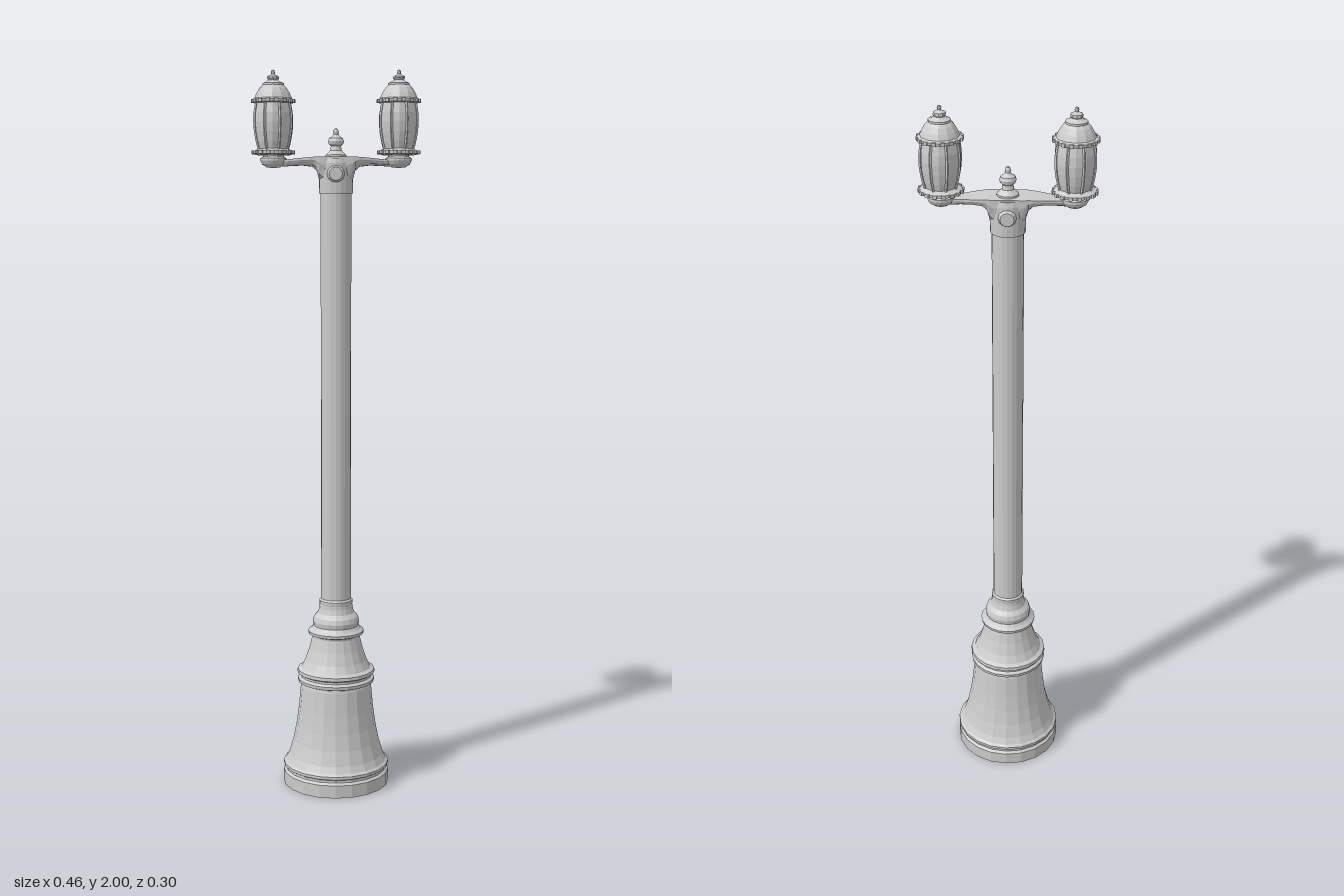
import * as THREE from 'three';

const material = new THREE.MeshStandardMaterial({ color: 0xcccccc, flatShading: true, side: THREE.DoubleSide });

function addMesh(parent, geometry, name) {
  const mesh = new THREE.Mesh(geometry, material);
  mesh.name = name;
  parent.add(mesh);
  return mesh;
}

// Turned part from [radius, height] pairs, bottom to top
function turned(parent, name, profile, sides) {
  return addMesh(parent, new THREE.LatheGeometry(profile.map(([r, y]) => new THREE.Vector2(r, y)), sides), name);
}

// Lofted arm: each station is [x, half width, bottom y, top y]
function armGeometry(stations) {
  const positions = [], index = [], n = 8;
  for (const [x, w, low, high] of stations) {
    const h = high - low;
    const section = [[-w, high], [w, high], [w, high - h * 0.3], [w * 0.8, low + h * 0.25],
      [w * 0.35, low], [-w * 0.35, low], [-w * 0.8, low + h * 0.25], [-w, high - h * 0.3]];
    for (const [z, y] of section) positions.push(x, y, z);
  }
  for (let i = 0; i < stations.length - 1; i++) {
    for (let j = 0; j < n; j++) {
      const a = i * n + j, b = i * n + (j + 1) % n;
      index.push(a, b, a + n, b, b + n, a + n);
    }
  }
  const last = (stations.length - 1) * n;
  for (let j = 1; j < n - 1; j++) {
    index.push(0, j + 1, j, last, last + j, last + j + 1);
  }
  const geometry = new THREE.BufferGeometry();
  geometry.setAttribute('position', new THREE.Float32BufferAttribute(positions, 3));
  geometry.setIndex(index);
  geometry.computeVertexNormals();
  return geometry;
}

function createLantern(name) {
  const lantern = new THREE.Group();
  lantern.name = name;
  // Dish joining the lantern to the arm
  turned(lantern, 'lanternDish', [[0, 1.738], [0.018, 1.74], [0.031, 1.748], [0.036, 1.758],
    [0.036, 1.764], [0.028, 1.769], [0.03, 1.776]], 16);
  turned(lantern, 'lanternLowerRim', [[0, 1.773], [0.047, 1.773], [0.055, 1.776], [0.055, 1.783],
    [0.046, 1.787], [0.04, 1.79]], 16);
  const glass = [[0.04, 1.787], [0.046, 1.808], [0.051, 1.835], [0.053, 1.86],
    [0.052, 1.885], [0.047, 1.912]];
  turned(lantern, 'lanternGlass', glass, 12);
  // Stepped roof with a pointed finial
  turned(lantern, 'lanternRoof', [[0.044, 1.91], [0.057, 1.913], [0.058, 1.92], [0.051, 1.924],
    [0.045, 1.938], [0.037, 1.951], [0.029, 1.959], [0.029, 1.964], [0.02, 1.968]], 12);
  turned(lantern, 'lanternFinial', [[0.02, 1.967], [0.014, 1.972], [0.017, 1.977], [0.016, 1.982],
    [0.009, 1.985], [0.005, 1.988], [0.006, 1.993], [0.004, 1.998], [0, 2]], 10);

  const ribCurve = new THREE.CatmullRomCurve3(glass.map(([r, y]) => new THREE.Vector3(r + 0.001, y, 0)));
  const ribGeometry = new THREE.TubeGeometry(ribCurve, 8, 0.0035, 4);
  const ribs = 8;
  for (let i = 0; i < ribs; i++) {
    addMesh(lantern, ribGeometry, 'lanternRib').rotation.y = ((i + 0.5) / ribs) * Math.PI * 2;
  }
  // Small teeth around both rims
  const teeth = 16;
  const toothGeometry = new THREE.BoxGeometry(0.007, 0.009, 0.011);
  for (let i = 0; i < teeth; i++) {
    const angle = ((i + 0.5) / teeth) * Math.PI * 2;
    for (const [radius, y] of [[0.0555, 1.78], [0.0565, 1.917]]) {
      const tooth = addMesh(lantern, toothGeometry, 'rimTooth');
      tooth.position.set(Math.cos(angle) * radius, y, -Math.sin(angle) * radius);
      tooth.rotation.y = angle;
    }
  }
  return lantern;
}

export function createModel() {
  const lamp = new THREE.Group();
  lamp.name = 'streetLamp';

  // Hollow, stepped base
  turned(lamp, 'base', [[0.15, 0], [0.15, 0.036], [0.143, 0.042], [0.143, 0.049], [0.15, 0.053],
    [0.15, 0.061], [0.143, 0.067], [0.134, 0.085], [0.122, 0.125], [0.113, 0.17], [0.106, 0.22],
    [0.1, 0.285], [0.098, 0.294], [0.108, 0.298], [0.109, 0.307], [0.101, 0.313], [0.101, 0.319],
    [0.11, 0.324], [0.109, 0.333], [0.098, 0.339], [0.087, 0.36], [0.075, 0.395], [0.067, 0.428],
    [0.068, 0.433], [0.078, 0.437], [0.079, 0.445], [0.07, 0.452], [0.064, 0.46], [0.066, 0.473],
    [0.062, 0.486], [0.051, 0.497], [0.047, 0.512], [0.046, 0.522], [0.047, 0.526], [0.047, 0.533],
    [0.042, 0.538]], 20);

  turned(lamp, 'pole', [[0.042, 0.53], [0.042, 1.68]], 20);

  // Collar on top of the pole
  turned(lamp, 'collar', [[0.04, 1.67], [0.046, 1.67], [0.047, 1.72], [0.048, 1.75],
    [0.045, 1.764], [0, 1.764]], 20);
  for (const side of [-1, 1]) {
    const boss = addMesh(lamp, new THREE.CylinderGeometry(0.018, 0.024, 0.014, 12), 'collarBoss');
    boss.rotation.x = side * Math.PI / 2;
    boss.position.set(0, 1.722, side * 0.05);
  }

  // Lens-shaped double arm, flaring into the collar
  const half = [[0.03, 0.0395, 1.69, 1.768], [0.046, 0.039, 1.708, 1.768], [0.053, 0.0375, 1.732, 1.768],
    [0.065, 0.036, 1.742, 1.767], [0.09, 0.03, 1.745, 1.765], [0.12, 0.022, 1.744, 1.762],
    [0.145, 0.018, 1.742, 1.76], [0.17, 0.016, 1.742, 1.758]];
  const mirrored = half.map(([x, ...rest]) => [-x, ...rest]).reverse();
  addMesh(lamp, armGeometry([...mirrored, ...half]), 'arm');

  // Finial in the middle of the arm
  turned(lamp, 'centreFinial', [[0.029, 1.765], [0.029, 1.773], [0.022, 1.779], [0.016, 1.785],
    [0.014, 1.797], [0.02, 1.802], [0.022, 1.81], [0.019, 1.818], [0.011, 1.823], [0.007, 1.828],
    [0.008, 1.835], [0.005, 1.842], [0, 1.845]], 14);

  // One lantern at each end
  for (const [side, name] of [[1, 'leftLantern'], [-1, 'rightLantern']]) {
    const lantern = createLantern(name);
    lantern.position.x = side * 0.17;
    lamp.add(lantern);
  }
  return lamp;
}
